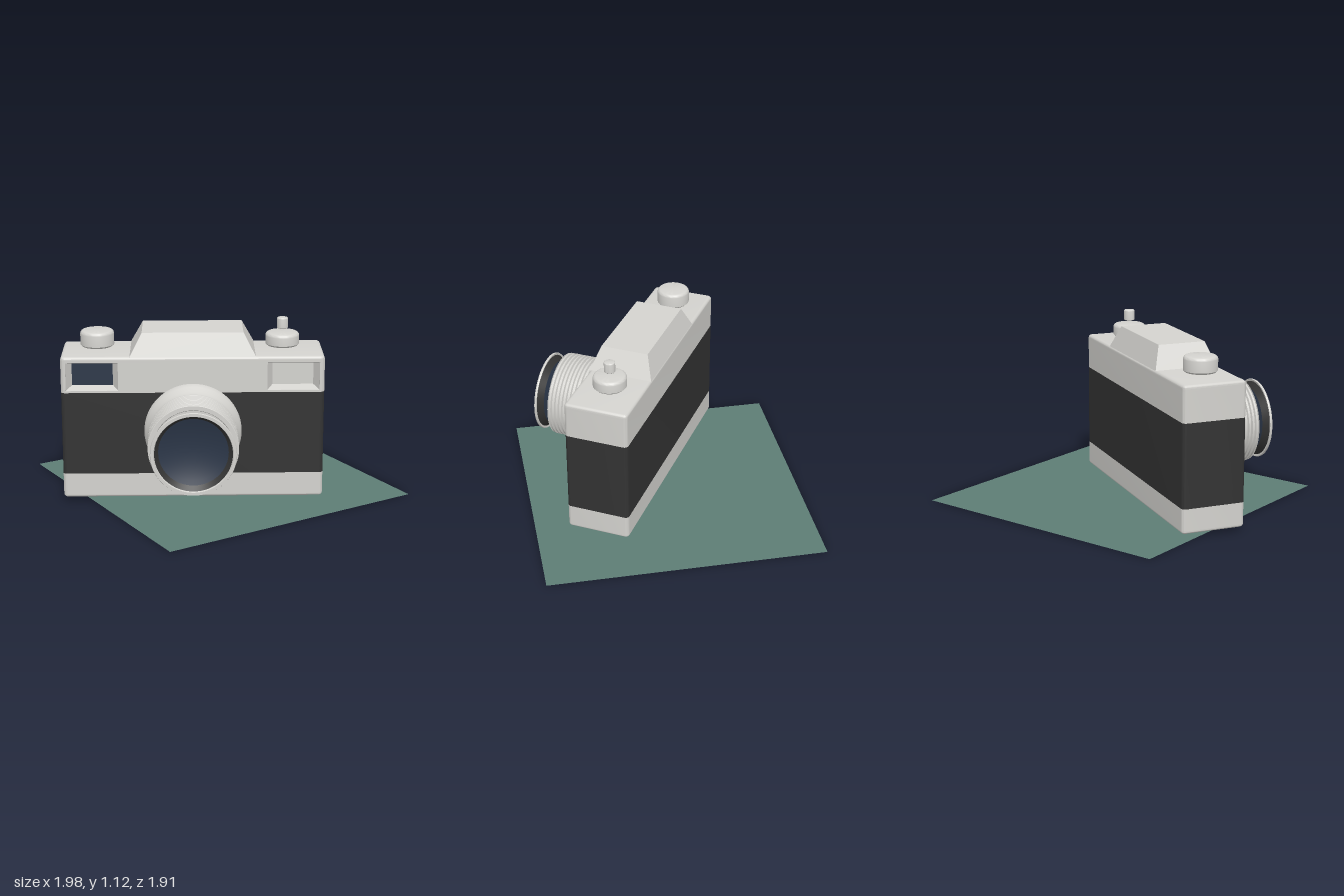
import * as THREE from 'three';
import { toCreasedNormals } from 'three/addons/utils/BufferGeometryUtils.js';

const flat = (name, color) => {
  const m = new THREE.MeshStandardMaterial({ color, side: THREE.DoubleSide });
  m.name = name;
  return m;
};
const silver = flat('silver', 0xd4d3cf);
const black = flat('blackLeather', 0x333333);
const glass = flat('blueGlass', 0x2c3749);
const green = flat('greenGround', 0x5d7d75);

const W = 0.795, D = 0.2, R = 0.025; // body half width, half depth, corner radius
const WIN = { x: 0.607, y: 0.8, w: 0.315, h: 0.175, depth: 0.08 };

function add(parent, name, geometry, material, x = 0, y = 0, z = 0) {
  const mesh = new THREE.Mesh(geometry, material);
  mesh.name = name;
  mesh.position.set(x, y, z);
  parent.add(mesh);
  return mesh;
}

// Plan outline of the body; the front is at -y of the shape
function plan(notched) {
  const s = new THREE.Shape();
  s.moveTo(-W + R, -D);
  if (notched) {
    for (const c of [-WIN.x, WIN.x]) {
      const a = c - WIN.w / 2, b = c + WIN.w / 2;
      s.lineTo(a, -D).lineTo(a, -D + WIN.depth).lineTo(b, -D + WIN.depth).lineTo(b, -D);
    }
  }
  const h = Math.PI / 2;
  s.absarc(W - R, -D + R, R, -h, 0);
  s.absarc(W - R, D - R, R, 0, h);
  s.absarc(-W + R, D - R, R, h, 2 * h);
  s.absarc(-W + R, -D + R, R, 2 * h, 3 * h);
  return s;
}

function slab(parent, name, y0, y1, material, notched = false) {
  const g = new THREE.ExtrudeGeometry(plan(notched), { depth: y1 - y0, bevelEnabled: false, curveSegments: 6 });
  g.rotateX(-Math.PI / 2);
  add(parent, name, toCreasedNormals(g, 0.6), material, 0, y0);
}

// Rounded closing edge, widest at height y
function roundedCap(parent, name, y) {
  const g = new THREE.ExtrudeGeometry(plan(false), {
    depth: 0.001, bevelThickness: 0.02, bevelSize: 0.02, bevelOffset: -0.02, bevelSegments: 4, curveSegments: 6,
  });
  g.rotateX(-Math.PI / 2);
  add(parent, name, toCreasedNormals(g, 0.6), silver, 0, y);
}

function lathe(points, segments = 48) {
  const g = new THREE.LatheGeometry(points.map(([r, y]) => new THREE.Vector2(r, y)), segments);
  return toCreasedNormals(g, 0.6);
}

// Round knob with a softened upper edge
function knob(parent, name, x, y0, y1, r) {
  const b = r * 0.2;
  const pts = [[0, y0], [r - b / 2, y0], [r, y0 + b / 2]];
  for (let i = 0; i <= 4; i++) {
    const a = (i / 4) * Math.PI / 2;
    pts.push([r - b + b * Math.cos(a), y1 - b + b * Math.sin(a)]);
  }
  pts.push([0, y1]);
  add(parent, name, lathe(pts, 32), silver, x);
}

function buildBody(camera) {
  slab(camera, 'bottomBand', 0.05, 0.185, silver);
  roundedCap(camera, 'bottomEdge', 0.05);
  slab(camera, 'leatherBand', 0.185, 0.7, black);
  const y0 = WIN.y - WIN.h / 2, y1 = WIN.y + WIN.h / 2;
  slab(camera, 'topBandLower', 0.7, y0, silver);
  slab(camera, 'topBandMiddle', y0, y1, silver, true);
  slab(camera, 'topBandUpper', y1, 0.9, silver);
  roundedCap(camera, 'topEdge', 0.9);

  // Sloped housing on top
  const g = new THREE.BoxGeometry(0.76, 0.14, 0.4);
  const p = g.attributes.position;
  for (let i = 0; i < p.count; i++) {
    if (p.getY(i) > 0) {
      p.setX(i, Math.sign(p.getX(i)) * 0.305);
      p.setZ(i, Math.sign(p.getZ(i)) * 0.15);
    }
  }
  g.computeVertexNormals();
  add(camera, 'finderHousing', g, silver, 0, 0.99);
}

function buildWindow(camera, side) {
  // Funnel-shaped frame narrowing towards the pane
  const k = Math.SQRT1_2;
  const g = new THREE.CylinderGeometry(k, k * 0.76, WIN.depth - 0.012, 4, 1, true, Math.PI / 4).toNonIndexed();
  g.rotateX(Math.PI / 2);
  g.scale(WIN.w, WIN.h, 1);
  g.computeVertexNormals();
  const z = D - WIN.depth / 2;
  add(camera, 'windowFrame', g, silver, side * WIN.x, WIN.y, z);
  add(camera, 'windowPane', new THREE.BoxGeometry(WIN.w * 0.8, WIN.h * 0.8, 0.006),
    side < 0 ? glass : silver, side * WIN.x, WIN.y, D - WIN.depth + 0.01);
}

function buildLens(camera) {
  const lens = new THREE.Group();
  lens.name = 'lens';
  lens.position.y = 0.46;
  lens.rotation.x = Math.PI / 2; // lathe axis points to the front
  camera.add(lens);

  // Collar, ribbed grip and hollow inside
  const pts = [[0.295, 0.19], [0.295, 0.215], [0.285, 0.235], [0.265, 0.265], [0.252, 0.3], [0.252, 0.325]];
  const ribs = 9, step = 0.225 / ribs;
  for (let i = 0; i < ribs; i++) {
    const y = 0.328 + i * step;
    pts.push([0.268, y + step * 0.2], [0.268, y + step * 0.6], [0.254, y + step * 0.8], [0.254, y + step]);
  }
  pts.push([0.265, 0.555], [0.24, 0.555], [0.235, 0.545], [0.235, 0.26], [0, 0.26]);
  add(lens, 'barrel', lathe(pts, 64), silver);

  // Front dish: bright rim, dark cone and concave glass
  add(lens, 'frontRim', lathe([[0.228, 0.642], [0.25, 0.638], [0.253, 0.645], [0.25, 0.653], [0.232, 0.653], [0.228, 0.642]], 64), silver);
  add(lens, 'frontCone', lathe([[0.205, 0.605], [0.24, 0.643]], 64), black);
  const bowl = [];
  for (let i = 0; i <= 8; i++) {
    const t = i / 8;
    bowl.push([0.205 * t, 0.57 + 0.035 * t * t]);
  }
  add(lens, 'frontGlass', lathe(bowl, 64), glass);
}

export function createModel() {
  const model = new THREE.Group();
  model.name = 'cameraOnGround';

  const ground = add(model, 'ground', new THREE.PlaneGeometry(1.722, 1.722).rotateX(-Math.PI / 2), green, 0.04, 0, 0);
  ground.rotation.y = 0.116;

  const camera = new THREE.Group();
  camera.name = 'camera';
  camera.position.set(-0.19, 0, 0.11);
  camera.rotation.y = -0.419;
  model.add(camera);

  buildBody(camera);
  for (const side of [-1, 1]) buildWindow(camera, side);
  buildLens(camera);

  // Dials and shutter button
  knob(camera, 'rewindDial', -0.58, 0.945, 1.043, 0.103);
  knob(camera, 'windDial', 0.548, 0.945, 1.025, 0.103);
  knob(camera, 'shutterButton', 0.548, 1.048, 1.115, 0.034);
  return model;
}
